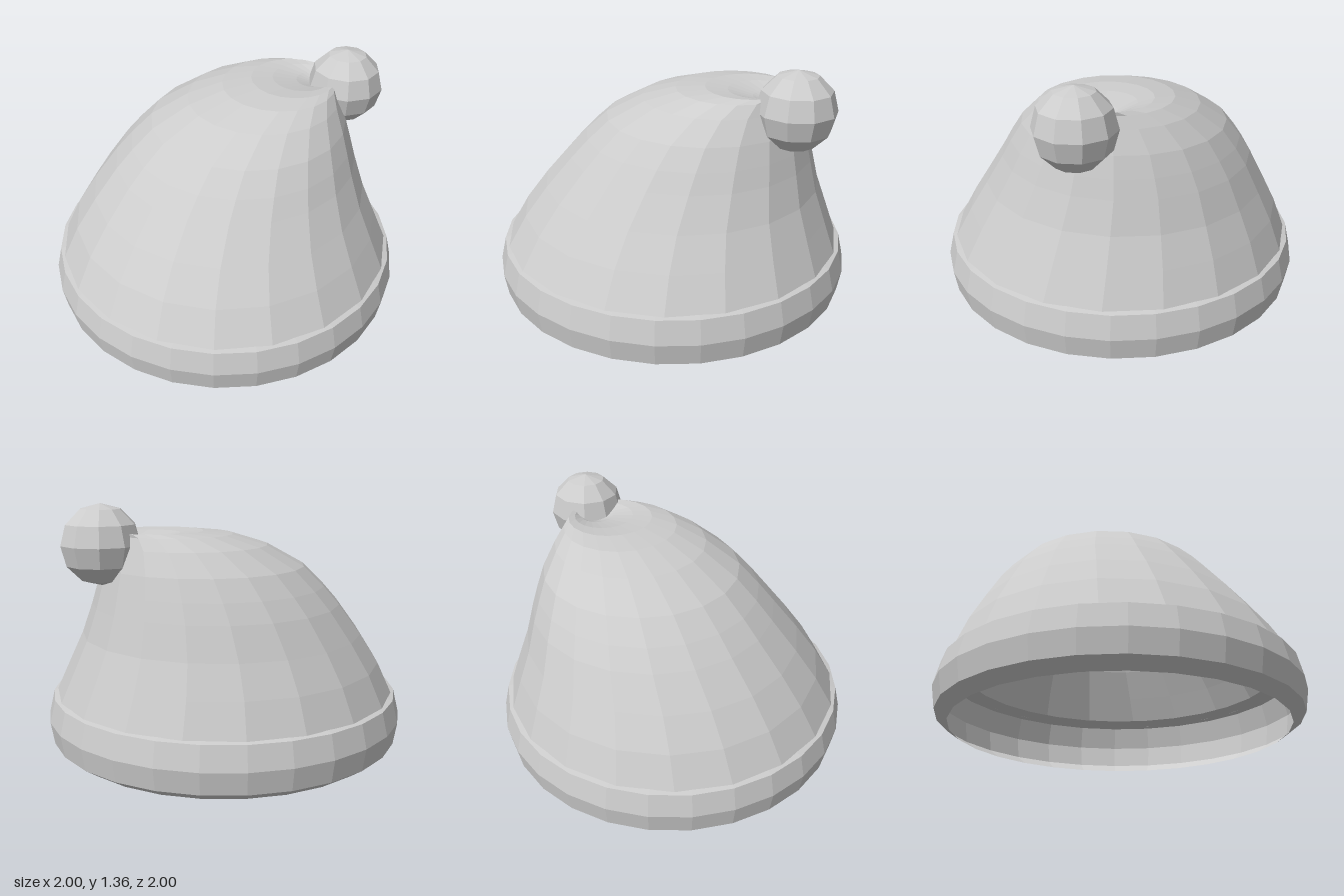
import * as THREE from 'three';

export function createModel() {
  const hat = new THREE.Group();
  hat.name = 'hat';

  const feltGrey = new THREE.MeshStandardMaterial({
    color: 0xcccccc, flatShading: true, side: THREE.DoubleSide,
  });
  feltGrey.name = 'felt grey';

  const add = (name, geometry) => {
    const mesh = new THREE.Mesh(geometry, feltGrey);
    mesh.name = name;
    hat.add(mesh);
    return mesh;
  };
  const points = (list) => list.map(([r, y]) => new THREE.Vector2(r, y));

  // Brim: an open band folded in at the top to meet the cap
  add('brim', new THREE.LatheGeometry(points([
    [0.91, 0], [0.98, 0.05], [1, 0.17], [0.97, 0.295], [0.875, 0.32],
  ]), 28));

  // Cap: rings of [radius, height, x, z], drifting back and to the left,
  // ending in a small dimple beside the pompom
  const rings = [
    [0.95, 0.302, 0, 0], [0.868, 0.475, 0.003, -0.022], [0.775, 0.64, 0.02, -0.05],
    [0.68, 0.81, 0.055, -0.09], [0.62, 0.91, 0.085, -0.11], [0.545, 1.02, 0.125, -0.135],
    [0.42, 1.135, 0.205, -0.172], [0.315, 1.195, 0.29, -0.205], [0.235, 1.213, 0.37, -0.24],
    [0.165, 1.205, 0.42, -0.265], [0.09, 1.18, 0.48, -0.29], [0, 1.13, 0.54, -0.32],
  ];
  const cap = new THREE.LatheGeometry(points(rings), 20);
  const pos = cap.attributes.position;
  for (let i = 0; i < pos.count; i++) {
    const [, , x, z] = rings[i % rings.length];
    pos.setX(i, pos.getX(i) + x);
    pos.setZ(i, pos.getZ(i) + z);
  }
  cap.computeVertexNormals();
  add('cap', cap);

  // Pompom at the tip
  const pompom = add('pompom', new THREE.SphereGeometry(0.21, 10, 6));
  pompom.position.set(0.665, 1.15, -0.305);
  pompom.rotation.y = Math.PI / 10;

  return hat;
}
